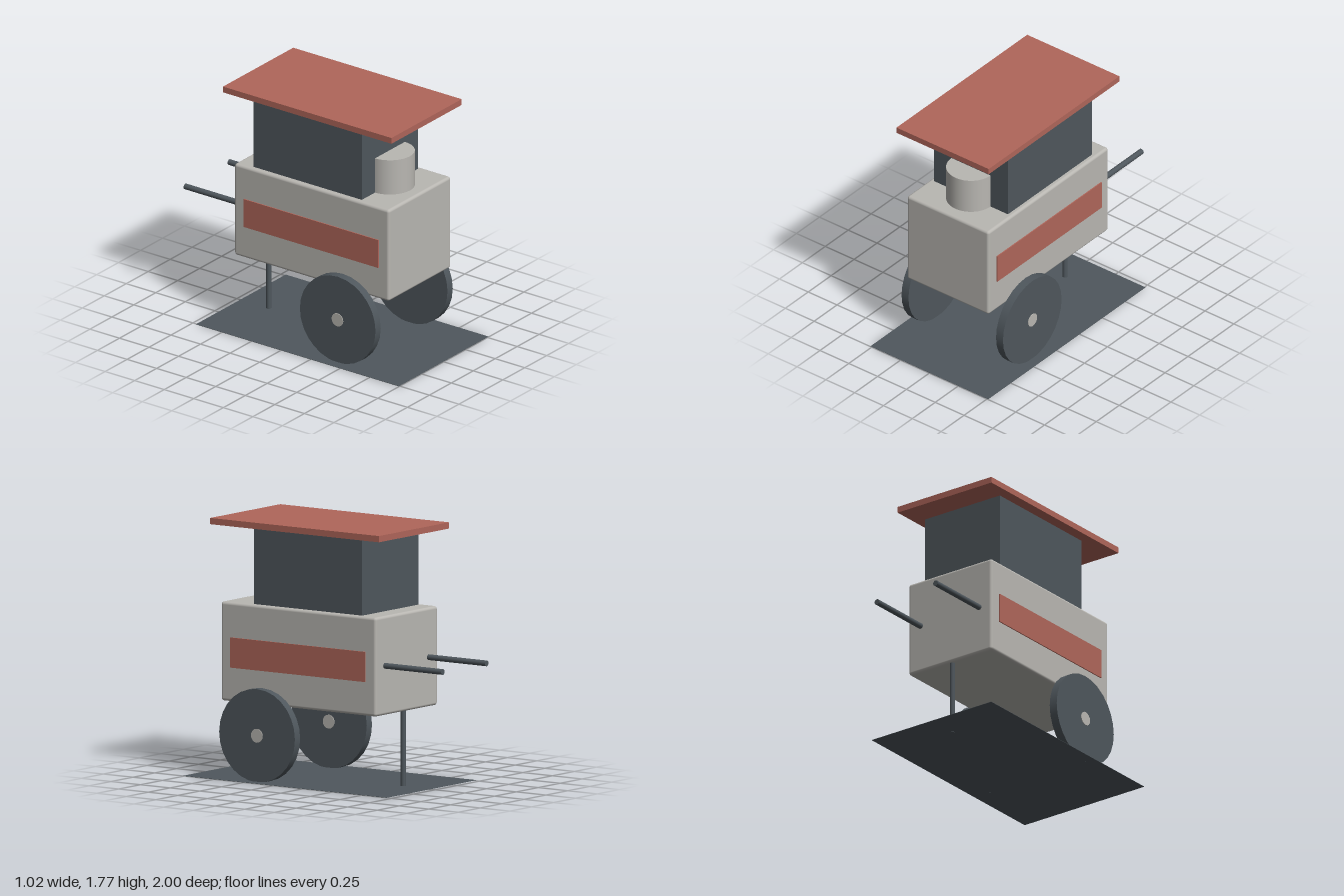
import * as THREE from 'three';
import { RoundedBoxGeometry } from 'three/addons/geometries/RoundedBoxGeometry.js';

export function createModel() {
  const cart = new THREE.Group();
  cart.name = 'pushCart';

  const material = (name, color, side = THREE.FrontSide) => {
    const m = new THREE.MeshStandardMaterial({ color, side });
    m.name = name;
    return m;
  };
  const slate = material('slate', 0x4f575d);
  const stone = material('stone', 0xb9b7b2);
  const brick = material('brick', 0xb0665a);

  const add = (name, geometry, mat, x, y, z) => {
    const mesh = new THREE.Mesh(geometry, mat);
    mesh.name = name;
    mesh.position.set(x, y, z);
    cart.add(mesh);
    return mesh;
  };
  const box = (w, h, d) => new THREE.BoxGeometry(w, h, d);
  const rod = (r, length, sides) => new THREE.CylinderGeometry(r, r, length, sides);

  // Ground plate, slightly above the wheel bottoms
  add('groundPlate', box(1.02, 0.002, 1.715), slate, 0, 0.003, 0.142);

  // Rounded body, upper cabin and overhanging roof
  add('body', new RoundedBoxGeometry(0.71, 0.68, 1.31, 3, 0.02), stone, 0, 0.86, 0.145);
  add('cabin', box(0.64, 0.53, 0.915), slate, 0, 1.465, 0.0875);
  add('roof', box(0.8, 0.043, 1.425), brick, 0, 1.7515, 0.1425);

  // Drum half sunk into the front of the cabin
  add('drum', rod(0.17, 0.27, 32), stone, 0, 1.32, 0.545);

  // Rear prop leg
  add('propLeg', rod(0.018, 0.53, 16), slate, 0, 0.265, -0.48);

  // Mirrored side panels, wheels, hubs and push handles
  for (const [side, s] of [['left', 1], ['right', -1]]) {
    add(side + 'Panel', box(0.009, 0.207, 1.14), brick, s * 0.3585, 0.857, 0.145);

    const wheel = rod(0.32, 0.06, 28).rotateZ(Math.PI / 2);
    add(side + 'Wheel', wheel, slate, s * 0.41, 0.32, 0.43);

    const hub = rod(0.048, 0.07, 16).rotateZ(Math.PI / 2);
    add(side + 'Hub', hub, stone, s * 0.41, 0.32, 0.43);

    const handle = rod(0.02, 0.52, 16).rotateX(Math.PI / 2);
    add(side + 'Handle', handle, slate, s * 0.25, 0.86, -0.74);
  }

  return cart;
}
